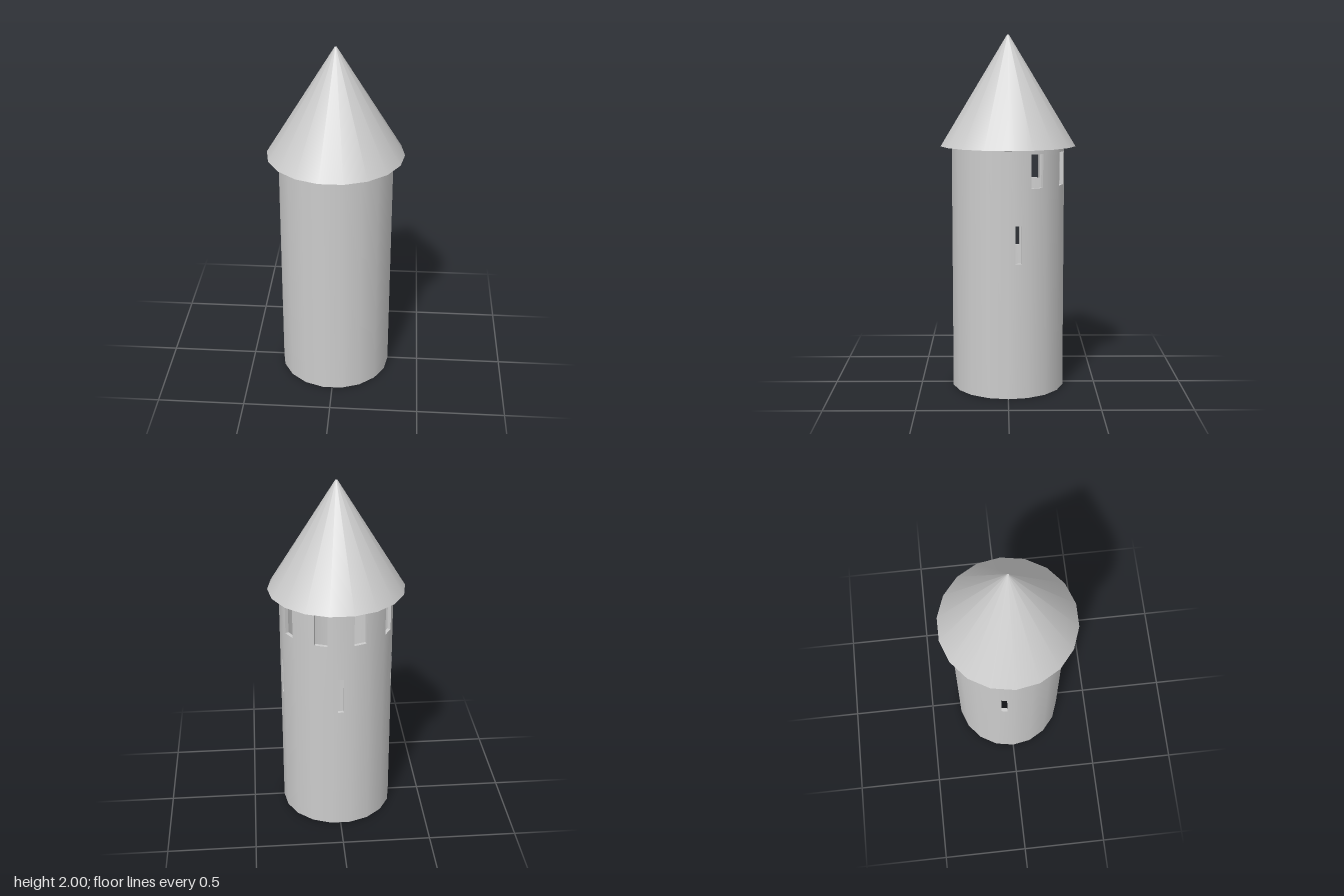
import * as THREE from 'three';
import { mergeGeometries } from 'three/addons/utils/BufferGeometryUtils.js';

const SIDES = 18;
const STEP = (Math.PI * 2) / SIDES;
const R = 0.32;                              // wall corner radius
const FACE = 2 * R * Math.sin(STEP / 2);     // width of one wall face
const APOTHEM = R * Math.cos(STEP / 2);
const WALL_TOP = 1.378;
const DEPTH = 0.02;                          // depth of the window reveals

const WINDOW = { w: 0.074, y0: 1.172, y1: 1.357 };
const SLIT = { w: 0.034, y0: 0.76, y1: 0.97 };
// opening by wall face, counted from +x round the back to -x
const OPENINGS = { 0: SLIT, 1: WINDOW, 3: WINDOW, 4: SLIT, 5: WINDOW, 7: WINDOW, 8: SLIT };

const material = () => new THREE.MeshStandardMaterial({ color: 0xcccccc, side: THREE.DoubleSide });

function rect(PathType, w, y0, y1) {
  const p = new PathType();
  p.moveTo(-w / 2, y0);
  p.lineTo(w / 2, y0);
  p.lineTo(w / 2, y1);
  p.lineTo(-w / 2, y1);
  p.closePath();
  return p;
}

// turn a piece built facing +z onto wall face i
const toFace = (geo, i) => geo.translate(0, 0, APOTHEM).rotateY((i + 0.5) * STEP + Math.PI / 2);

// four inward-facing planes lining an opening
function reveal({ w, y0, y1 }) {
  const h = y1 - y0, mid = (y0 + y1) / 2, z = -DEPTH / 2;
  return mergeGeometries([
    new THREE.PlaneGeometry(DEPTH, h).rotateY(Math.PI / 2).translate(-w / 2, mid, z),
    new THREE.PlaneGeometry(DEPTH, h).rotateY(-Math.PI / 2).translate(w / 2, mid, z),
    new THREE.PlaneGeometry(w, DEPTH).rotateX(-Math.PI / 2).translate(0, y0, z),
    new THREE.PlaneGeometry(w, DEPTH).rotateX(Math.PI / 2).translate(0, y1, z),
  ]);
}

export function createModel() {
  const model = new THREE.Group();
  model.name = 'tower';
  const add = (name, geo) => {
    const mesh = new THREE.Mesh(geo, material());
    mesh.name = name;
    model.add(mesh);
  };

  // thin wall, open below, one panel per side
  const panels = [];
  for (let i = 0; i < SIDES; i++) {
    const shape = rect(THREE.Shape, FACE, 0, WALL_TOP);
    const o = OPENINGS[i];
    if (o) {
      shape.holes.push(rect(THREE.Path, o.w, o.y0, o.y1));
      add(o === SLIT ? 'arrowSlitReveal' : 'windowReveal', toFace(reveal(o), i));
    }
    panels.push(toFace(new THREE.ShapeGeometry(shape), i));
  }
  const wall = mergeGeometries(panels);
  // radial normals keep the round wall smooth
  const pos = wall.attributes.position, normal = wall.attributes.normal;
  for (let i = 0; i < pos.count; i++) {
    const r = Math.hypot(pos.getX(i), pos.getZ(i));
    normal.setXYZ(i, pos.getX(i) / r, 0, pos.getZ(i) / r);
  }
  add('wall', wall);

  // pointed roof: eave underside, cone, tiny flat tip
  const ring = (...pts) => new THREE.LatheGeometry(
    pts.map(([x, y]) => new THREE.Vector2(x, y)), SIDES, Math.PI / 2);
  add('eave', ring([R, WALL_TOP], [0.383, 1.384]));
  add('roof', ring([0.383, 1.384], [0.006, 2]));
  add('roofTip', ring([0.006, 2], [0, 2]));
  return model;
}
